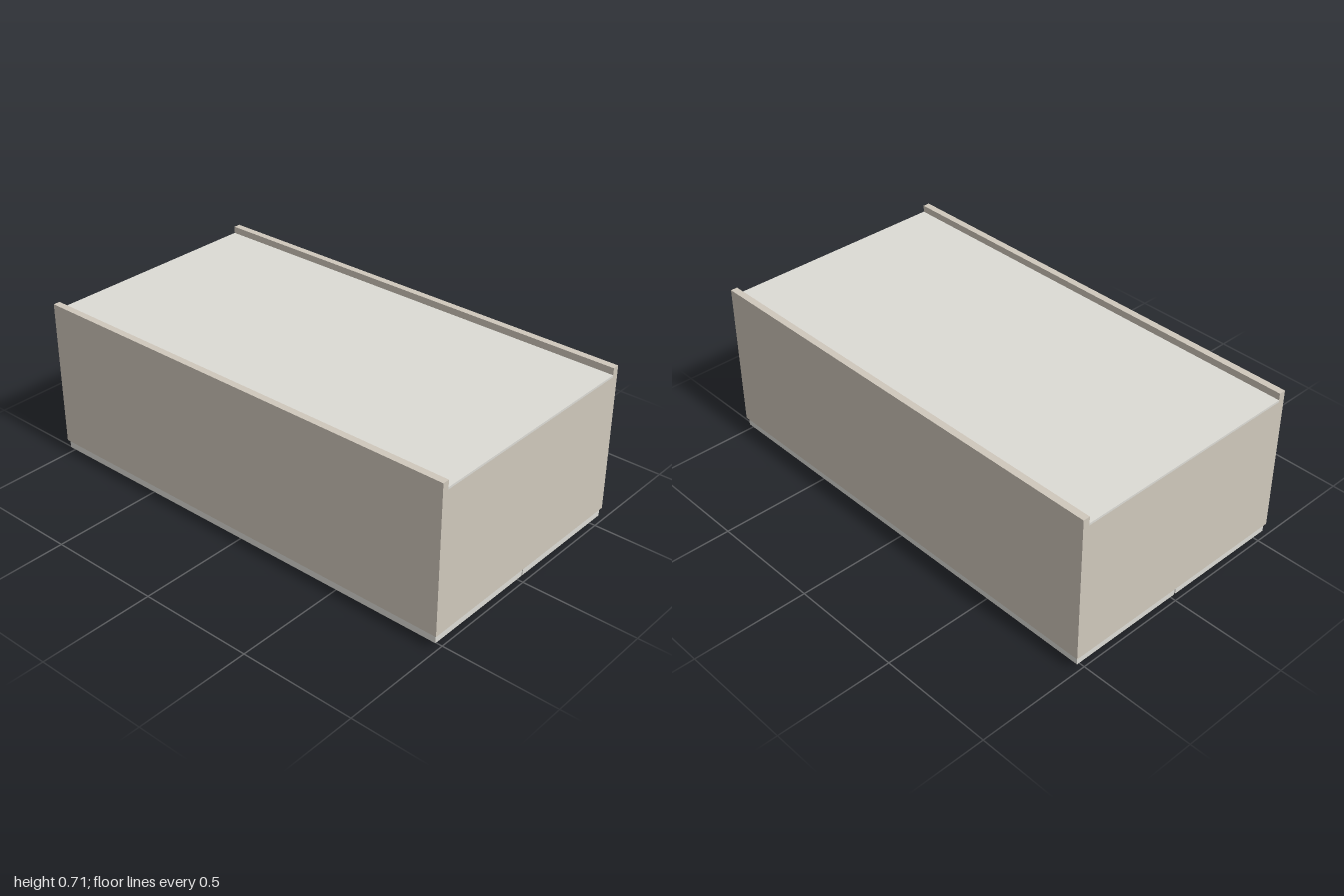
import * as THREE from 'three';

const beige = new THREE.MeshStandardMaterial({ color: 0xd0c8bc });
const pale = new THREE.MeshStandardMaterial({ color: 0xdcdbd5 });
const dark = new THREE.MeshStandardMaterial({ color: 0x77777c });

// Box given by its minimum and maximum corners
function panel(name, material, [x0, y0, z0], [x1, y1, z1]) {
  const mesh = new THREE.Mesh(new THREE.BoxGeometry(x1 - x0, y1 - y0, z1 - z0), material);
  mesh.position.set((x0 + x1) / 2, (y0 + y1) / 2, (z0 + z1) / 2);
  mesh.name = name;
  return mesh;
}

// Slim pull with rounded ends, hanging below a door
function handle(name, x) {
  const r = 0.012, half = 0.103 - r;
  const shape = new THREE.Shape();
  shape.absarc(half, 0, r, -Math.PI / 2, Math.PI / 2);
  shape.absarc(-half, 0, r, Math.PI / 2, Math.PI * 1.5);
  const geometry = new THREE.ExtrudeGeometry(shape, { depth: 0.03, bevelEnabled: false, curveSegments: 8 });
  geometry.rotateX(-Math.PI / 2);
  const mesh = new THREE.Mesh(geometry, dark);
  mesh.position.set(x, 0, 0.833);
  mesh.name = name;
  return mesh;
}

export function createModel() {
  const group = new THREE.Group();
  group.name = 'cabinet';
  const W = 0.54, T = 0.03, base = 0.065;

  // Carcass: long sides, end boards and recessed back panel
  for (const [side, s] of [['left', 1], ['right', -1]]) {
    const span = (a, b) => (s > 0 ? [a, b] : [-b, -a]);
    const [a, b] = span(W - T, W);
    group.add(panel(side + 'Side', beige, [a, base, -1], [b, 0.715, 1]));

    // Door with its handle
    const [c, d] = span(0.003, 0.532);
    group.add(panel(side + 'Door', pale, [c, 0.029, -0.993], [d, 0.061, 0.993]));
    group.add(handle(side + 'Handle', s * 0.269));
  }
  group.add(panel('frontEnd', beige, [-W + T, base, 1 - T], [W - T, 0.676, 1]));
  group.add(panel('rearEnd', beige, [-W + T, base, -1], [W - T, 0.676, -1 + T]));
  group.add(panel('backPanel', pale, [-W + T, 0.676, -1], [W - T, 0.685, 1]));
  return group;
}
